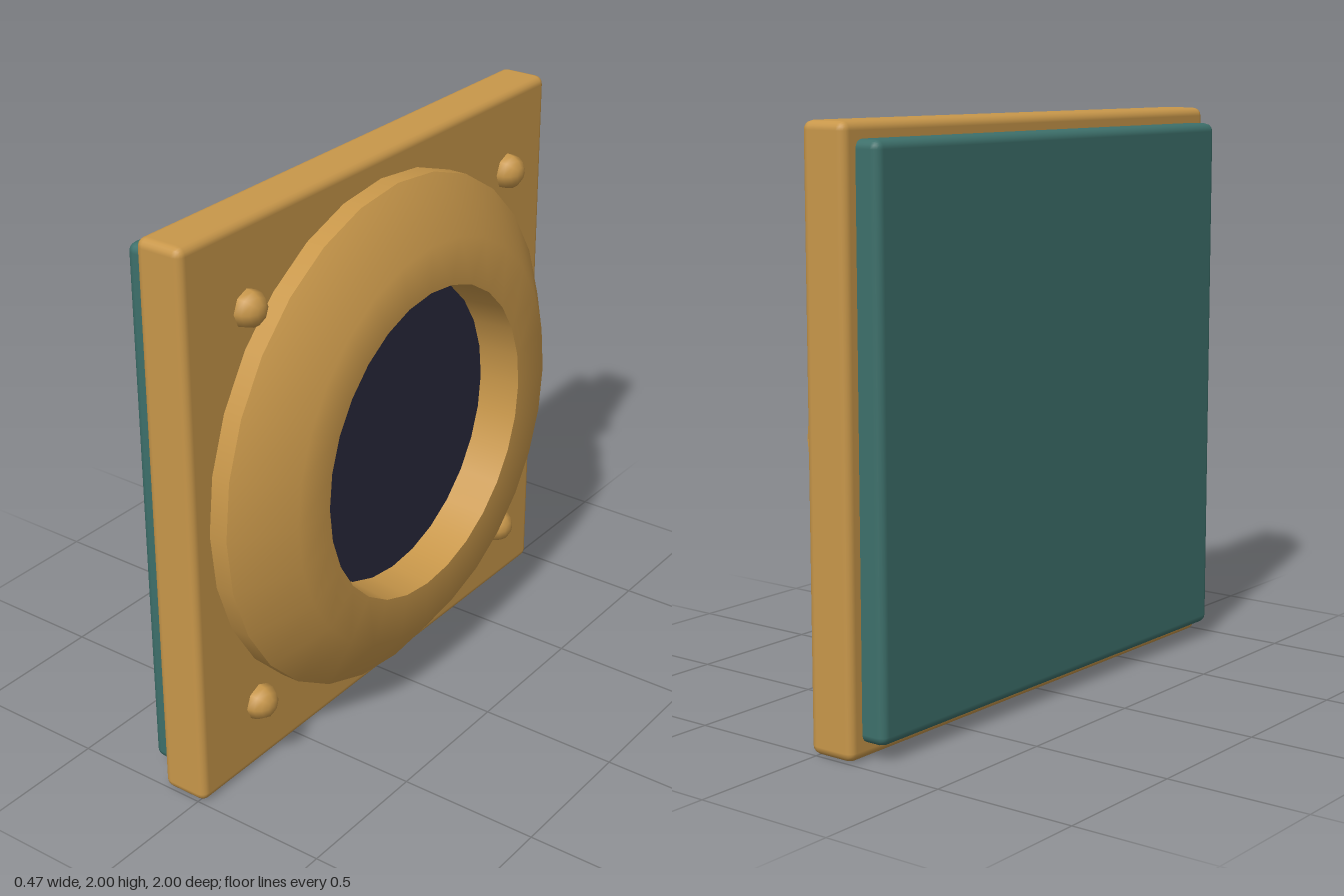
import * as THREE from 'three';
import { RoundedBoxGeometry } from 'three/addons/geometries/RoundedBoxGeometry.js';

const paint = (name, color) => {
  const m = new THREE.MeshStandardMaterial({ color });
  m.name = name;
  return m;
};

export function createModel() {
  const group = new THREE.Group();
  const ochre = paint('ochre', 0xc8974a);
  const teal = paint('teal', 0x3d706b);
  const navy = paint('dark navy', 0x28283c);
  const SIDES = 28;

  const add = (parent, name, geometry, material, x = 0, y = 0, z = 0) => {
    const mesh = new THREE.Mesh(geometry, material);
    mesh.name = name;
    mesh.position.set(x, y, z);
    parent.add(mesh);
    return mesh;
  };

  // Square slabs with softened edges
  const slab = (name, x0, x1, size, material) => add(group, name,
    new RoundedBoxGeometry(x1 - x0, size, size, 2, 0.03), material, (x0 + x1) / 2, 1, 0);
  slab('facePlate', -0.148, 0.027, 2, ochre);
  slab('backPanel', -0.235, -0.1, 1.89, teal);

  // Round bezel, turned about the x axis; separate profiles keep the rims sharp
  const bezel = new THREE.Group();
  bezel.name = 'bezel';
  bezel.position.y = 1;
  bezel.rotation.z = -Math.PI / 2;
  group.add(bezel);
  const turned = (name, points) => add(bezel, name,
    new THREE.LatheGeometry(points.map(([r, h]) => new THREE.Vector2(r, h)), SIDES), ochre);
  turned('bezelOuterWall', [[0.915, 0.02], [0.915, 0.095]]);
  turned('bezelSlope', [[0.915, 0.095], [0.725, 0.232], [0.56, 0.232]]);
  turned('bezelInnerWall', [[0.56, 0.232], [0.545, 0.08]]);

  // Dark lens set deep in the bezel
  add(bezel, 'lens', new THREE.CylinderGeometry(0.545, 0.545, 0.06, SIDES), navy, 0, 0.05, 0);

  // Domed studs near the four corners
  const dome = new THREE.SphereGeometry(0.065, 8, 4, 0, Math.PI * 2, 0, Math.PI / 2);
  dome.rotateZ(-Math.PI / 2);
  for (const y of [-1, 1]) {
    for (const z of [-1, 1]) {
      add(group, 'stud', dome, ochre, 0.05, 1 + y * 0.725, z * 0.725);
    }
  }
  return group;
}
